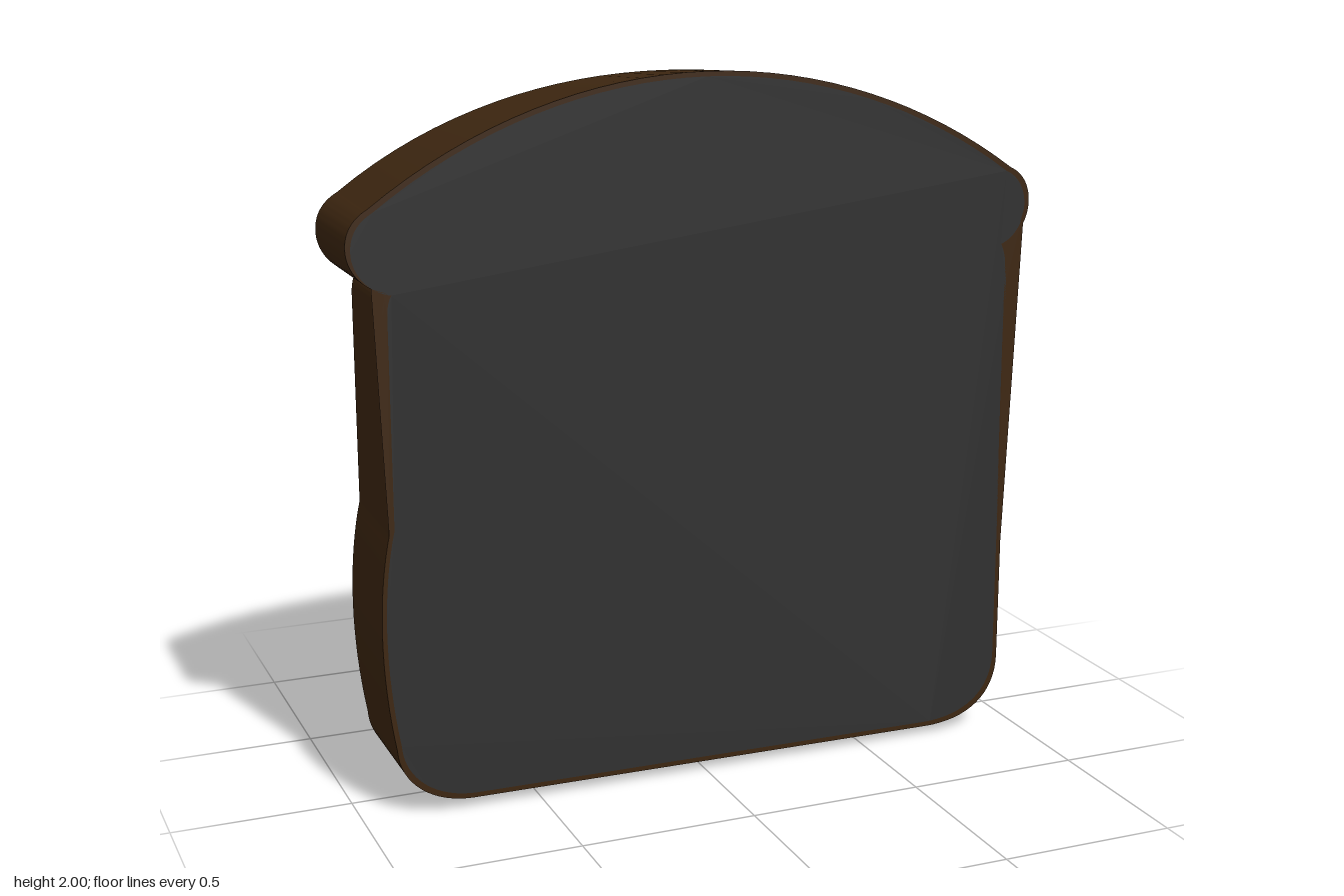
import * as THREE from 'three';
import { toCreasedNormals } from 'three/addons/utils/BufferGeometryUtils.js';

const HALF = 0.16;   // half thickness of the slice
const SKEW = 0.006;  // the slice is turned very slightly about y

// Slice outline, counter-clockwise from the lower left corner
function outline({ wall, shoulder, base, top }) {
  const s = new THREE.Shape();
  s.moveTo(-0.69, 0.03);
  s.lineTo(0.71, base);
  s.bezierCurveTo(0.85, base, wall, 0.09, wall, 0.22);
  s.lineTo(shoulder, 1.36);
  s.quadraticCurveTo(shoulder, 1.44, 0.925, 1.478);
  s.bezierCurveTo(0.97, 1.495, 0.997, 1.54, 0.997, 1.59);
  s.bezierCurveTo(0.997, 1.64, 0.97, 1.675, 0.935, 1.69);
  s.bezierCurveTo(0.66, 1.885, 0.33, top, 0, top);
  s.bezierCurveTo(-0.33, top, -0.66, 1.885, -0.935, 1.68);
  s.bezierCurveTo(-0.98, 1.655, -0.997, 1.62, -0.997, 1.58);
  s.bezierCurveTo(-0.997, 1.52, -0.95, 1.47, -0.892, 1.46);
  s.quadraticCurveTo(-0.905, 1.44, -0.905, 1.4);
  s.lineTo(-0.905, 0.82);
  s.bezierCurveTo(-0.945, 0.65, -0.945, 0.42, -0.905, 0.2);
  s.bezierCurveTo(-0.9, 0.1, -0.81, 0.03, -0.69, 0.03);
  const pts = s.getPoints(16);
  pts.pop(); // the last point repeats the first
  return pts;
}

const inset = pts => pts.map(p => new THREE.Vector2(p.x * 0.986, 1 + (p.y - 1) * 0.986));
const depth = (x, side) => side * HALF + SKEW * x;

// Flat face at the front (side 1) or back (side -1)
function face(shape, side) {
  const geo = new THREE.ShapeGeometry(shape);
  const pos = geo.attributes.position;
  for (let i = 0; i < pos.count; i++) pos.setZ(i, depth(pos.getX(i), side));
  if (side < 0) geo.index.array.reverse();
  geo.computeVertexNormals();
  return geo;
}

// Crust wall between the two outlines
function wallGeometry(front, back) {
  const pos = [], idx = [], n = front.length;
  for (let i = 0; i < n; i++) {
    pos.push(front[i].x, front[i].y, depth(front[i].x, 1));
    pos.push(back[i].x, back[i].y, depth(back[i].x, -1));
    const a = 2 * i, b = 2 * ((i + 1) % n);
    idx.push(a, a + 1, b, b, a + 1, b + 1);
  }
  const geo = new THREE.BufferGeometry();
  geo.setAttribute('position', new THREE.Float32BufferAttribute(pos, 3));
  geo.setIndex(idx);
  return toCreasedNormals(geo, 0.6);
}

export function createModel() {
  const crust = new THREE.MeshStandardMaterial({ name: 'darkBrownCrust', color: 0x3d2610 });
  const crumb = new THREE.MeshStandardMaterial({ name: 'charcoalCrumb', color: 0x303030 });
  const group = new THREE.Group();
  group.name = 'breadSlice';
  const add = (name, geo, mat) => {
    const mesh = new THREE.Mesh(geo, mat);
    mesh.name = name;
    group.add(mesh);
  };

  // The back is a little wider at the lower right and a little lower
  const front = outline({ wall: 0.945, shoulder: 0.945, base: 0.025, top: 1.995 });
  const back = outline({ wall: 0.976, shoulder: 0.957, base: 0, top: 1.97 });
  add('crustWall', wallGeometry(front, back), crust);

  // Crumb faces, each framed by a thin crust rim
  for (const [name, pts, side] of [['front', front, 1], ['back', back, -1]]) {
    const inner = inset(pts);
    const rim = new THREE.Shape(pts);
    rim.holes.push(new THREE.Path(inner));
    add(name + 'CrustRim', face(rim, side), crust);
    add(name + 'Crumb', face(new THREE.Shape(inner), side), crumb);
  }
  return group;
}
